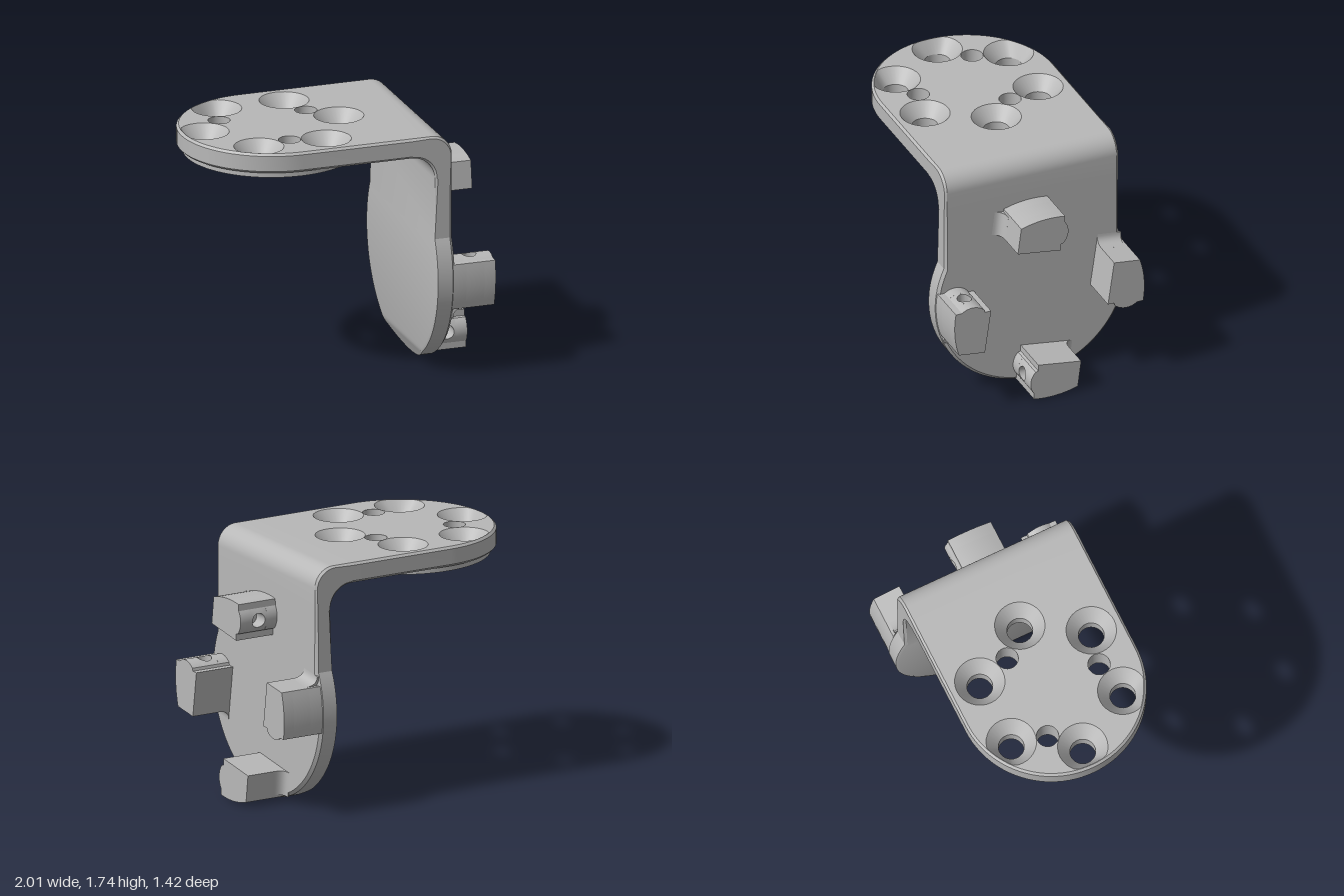
import * as THREE from 'three';
import { toCreasedNormals } from 'three/addons/utils/BufferGeometryUtils.js';

const V3 = (x, y, z) => new THREE.Vector3(x, y, z);
const range = (n, f) => Array.from({ length: n }, (_, i) => f(i));
const { lerp } = THREE.MathUtils;

const metal = new THREE.MeshStandardMaterial({ color: 0xb8b8b8, side: THREE.DoubleSide });
metal.name = 'grey metal';

// Skin of quads between successive closed rings of points
function loft(rings, crease = 0.5) {
  const p = [];
  for (let i = 0; i < rings.length - 1; i++) {
    const r0 = rings[i], r1 = rings[i + 1], n = r0.length;
    for (let j = 0; j < n; j++) {
      const k = (j + 1) % n;
      for (const v of [r0[j], r0[k], r1[j], r0[k], r1[k], r1[j]]) p.push(v.x, v.y, v.z);
    }
  }
  const g = new THREE.BufferGeometry();
  g.setAttribute('position', new THREE.Float32BufferAttribute(p, 3));
  return toCreasedNormals(g, crease);
}

// Horizontal flat face with holes, facing up or down
function flat(outline, holes, y, up) {
  const s = up ? -1 : 1;
  const to2 = pts => pts.map(v => new THREE.Vector2(v.x, s * v.z));
  const shape = new THREE.Shape(to2(outline));
  shape.holes = holes.map(h => new THREE.Path(to2(h)));
  return new THREE.ShapeGeometry(shape).rotateX(s * Math.PI / 2).translate(0, y, 0);
}

function add(parent, name, geometry) {
  const m = new THREE.Mesh(geometry, metal);
  m.name = name;
  parent.add(m);
  return m;
}

const CX = -0.36, W = 0.645, C = 0.016;   // round end centre, half width, bevel
const TOP = 1.74, UNDER = 1.6, PAD = 1.56;

function buildTopPlate() {
  const g = new THREE.Group();
  g.name = 'topPlate';
  const outline = (w, y) => [
    V3(0.42, y, w),
    ...range(49, i => {
      const a = Math.PI / 2 + Math.PI * i / 48;
      return V3(CX + w * Math.cos(a), y, w * Math.sin(a));
    }),
    V3(0.42, y, -w)];
  const circle = (x, z, r, y, n = 32) => range(n, i => {
    const a = i / n * Math.PI * 2;
    return V3(x + r * Math.cos(a), y, z - r * Math.sin(a));
  });
  // Countersink rim, cut off where it would pass the rounded edge
  const rim = h => circle(h.x, h.z, 0.171, TOP).map(v => {
    const d = Math.hypot(v.x - CX, v.z), f = v.x < CX ? Math.min(1, 0.626 / d) : 1;
    return V3(CX + (v.x - CX) * f, TOP, v.z * f);
  });
  const around = (n, r, a0) => range(n, i => {
    const a = a0 + i / n * Math.PI * 2;
    return { x: CX + r * Math.cos(a), z: r * Math.sin(a) };
  });
  const screws = around(6, 0.485, 0), pins = around(3, 0.36, Math.PI / 2);
  const bores = y => [
    ...screws.map(h => circle(h.x, h.z, 0.088, y)),
    ...pins.map(h => circle(h.x, h.z, 0.076, y))];

  add(g, 'topFace', flat(outline(W - C, TOP), [
    ...screws.map(rim), ...pins.map(h => circle(h.x, h.z, 0.076, TOP))], TOP, true));
  add(g, 'plateRim', loft([
    outline(W - C, TOP), outline(W, TOP - C), outline(W, UNDER + C), outline(W - C, UNDER)]));
  add(g, 'underside', flat(outline(W - C, UNDER), bores(UNDER), UNDER, false));

  // Raised round pad below the plate
  const pad = y => circle(CX, 0, 0.605, y, 64).reverse();
  add(g, 'padRim', loft([pad(UNDER), pad(PAD)]));
  add(g, 'padFace', flat(pad(PAD), bores(PAD), PAD, false));

  // Hole walls
  for (const h of screws) {
    add(g, 'countersunkHole', loft([
      rim(h), circle(h.x, h.z, 0.088, 1.645), circle(h.x, h.z, 0.088, PAD)]));
  }
  for (const h of pins) {
    add(g, 'pinHole', loft([circle(h.x, h.z, 0.076, TOP), circle(h.x, h.z, 0.076, PAD)]));
  }
  return g;
}

// Bend, upright and round lower end, swept as bevelled cross-sections
function buildUpright() {
  const section = (o, oe, ie, i, w, wf) => {
    const half = [[o, wf], [oe, w], [ie, w], [i, wf]];
    return [
      ...half.map(([p, z]) => V3(p[0], p[1], z)),
      ...half.reverse().map(([p, z]) => V3(p[0], p[1], -z))];
  };
  const straight = (o, i) => {
    const t = C / Math.hypot(o[0] - i[0], o[1] - i[1]);
    const mix = f => [lerp(o[0], i[0], f), lerp(o[1], i[1], f)];
    return section(o, mix(t), mix(1 - t), i, W, W - C);
  };
  const rings = [straight([0.42, TOP], [0.42, UNDER])];
  for (let k = 0; k <= 12; k++) {
    const a = k / 12 * Math.PI / 2, s = Math.sin(a), c = Math.cos(a);
    rings.push(straight([0.57 + 0.14 * s, 1.6 + 0.14 * c], [0.42 + 0.17 * s, 1.43 + 0.17 * c]));
  }
  rings.push(straight([0.71, 1.43], [0.59, 1.43]));
  // Lower end is a disc whose inner face is cut away at the bottom
  const R = 0.71, a0 = Math.asin(0.297 / R);
  for (let k = 0; k <= 44; k++) {
    const a = lerp(a0, -Math.PI / 2, k / 44), s = Math.sin(a), c = Math.cos(a);
    const y = R + R * s, yf = R + (R - 0.02) * s;
    const xi = Math.max(0.575, 0.63 - 0.5 * y);
    rings.push(section([0.71, yf], [0.69, y], [xi + 0.008, y], [xi, yf], R * c, (R - 0.02) * c));
  }
  return loft(rings, 0.4);
}

// One locking peg: local x is sideways, y radial, z the way it sticks out
function buildPeg() {
  const g = new THREE.Group();
  g.name = 'lockingPeg';
  const bulge = v => -(0.012 + Math.sqrt(0.128 ** 2 - (v + 0.575) ** 2));
  const lo = -0.65, hi = -0.485, d0 = 0.79, d1 = 0.92;
  const body = (from, to, recessed) => {
    const side = range(13, i => {
      const v = lerp(lo, hi, i / 12);
      return [bulge(v), v];
    });
    const pts = [
      [-0.083, -0.434], [0.235, -0.48],
      ...range(9, i => {
        const s = lerp(0.21, -0.115, i / 8);
        return [s, -Math.sqrt(0.705 ** 2 - s * s)];
      }),
      ...(recessed ? [side[0], [-0.03, lo], [-0.03, hi], side[12]] : side),
      [-0.083, -0.48]];
    const shape = new THREE.Shape(pts.map(p => new THREE.Vector2(...p)));
    const geo = new THREE.ExtrudeGeometry(shape, { depth: to - from, bevelEnabled: false });
    return toCreasedNormals(geo.translate(0, 0, from), 0.4);
  };
  add(g, 'pegRoot', body(0.69, d0, false));
  add(g, 'pegMiddle', body(d0, d1, true));
  add(g, 'pegTip', body(d1, 1, false));

  // Rounded side wall with a cross hole
  const vc = (lo + hi) / 2, dc = (d0 + d1) / 2, r = 0.05;
  const ring = (t, deep) => range(32, i => {
    const a = i / 32 * Math.PI * 2, c = Math.cos(a), s = Math.sin(a);
    const m = Math.max(Math.abs(c), Math.abs(s));
    const v = vc + lerp(r * s, (hi - lo) / 2 * s / m, t);
    const d = dc + lerp(r * c, (d1 - d0) / 2 * c / m, t);
    return V3(deep ? -0.03 : bulge(v), v, d);
  });
  add(g, 'crossHole', loft([ring(1), ring(0.5), ring(0), ring(0, true)], 0.6));

  // Concave fillet between the plate and the peg's flat side
  const f = new THREE.Shape();
  f.moveTo(-0.01, -0.01);
  f.lineTo(0.065, -0.01);
  f.lineTo(0.065, 0);
  f.quadraticCurveTo(0, 0, 0, 0.085);
  f.lineTo(-0.01, 0.085);
  const fillet = new THREE.ExtrudeGeometry(f, { depth: 0.175, bevelEnabled: false, curveSegments: 8 });
  const basis = new THREE.Matrix4().makeBasis(
    V3(0.992, -0.128, 0), V3(0, 0, 1), V3(-0.128, -0.992, 0));
  basis.setPosition(0.235, -0.48, 0.71);
  add(g, 'pegFillet', toCreasedNormals(fillet.applyMatrix4(basis), 0.5));
  return g;
}

export function createModel() {
  const model = new THREE.Group();
  model.name = 'angleBracket';
  model.add(buildTopPlate());
  add(model, 'bendAndUpright', buildUpright());

  // Four pegs, a quarter turn apart, on the outer face
  const pegs = new THREE.Group();
  pegs.name = 'pegs';
  pegs.position.y = 0.71;
  pegs.rotation.y = Math.PI / 2;
  for (let k = 0; k < 4; k++) {
    const peg = buildPeg();
    peg.rotation.z = k * Math.PI / 2;
    pegs.add(peg);
  }
  model.add(pegs);
  return model;
}
